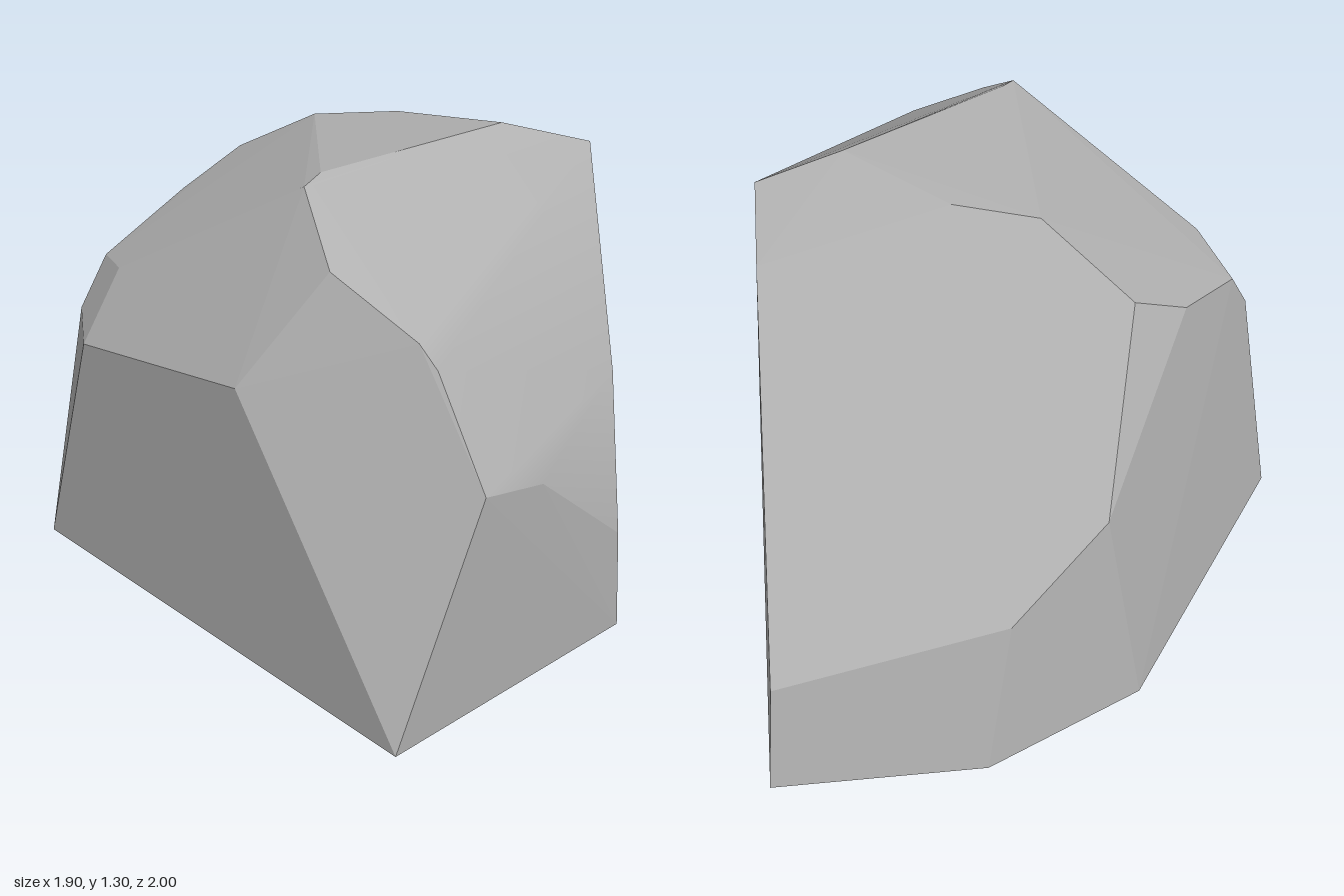
import * as THREE from 'three';
import { ConvexGeometry } from 'three/addons/geometries/ConvexGeometry.js';

// Shell of flat facets, open underneath, with blended normals on the worn right flank
function rockShell(corners) {
  const pos = new ConvexGeometry(corners).attributes.position;
  const positions = [], normals = [], flank = [];
  const sums = new Map();
  const key = v => v.toArray().map(c => c.toFixed(3)).join();
  for (let i = 0; i < pos.count; i += 3) {
    const tri = [0, 1, 2].map(k => new THREE.Vector3().fromBufferAttribute(pos, i + k));
    const area = tri[1].clone().sub(tri[0]).cross(tri[2].clone().sub(tri[0]));
    const n = area.clone().normalize();
    if (n.y < -0.9) continue; // no underside
    const worn = n.x > 0.4 && n.y > 0.2 && Math.abs(n.z) < 0.45;
    for (const v of tri) {
      if (worn) {
        if (!sums.has(key(v))) sums.set(key(v), new THREE.Vector3());
        sums.get(key(v)).add(area);
        flank.push([normals.length, key(v)]);
      }
      positions.push(...v.toArray());
      normals.push(...n.toArray());
    }
  }
  for (const [at, id] of flank) sums.get(id).clone().normalize().toArray(normals, at);

  const shell = new THREE.BufferGeometry();
  shell.setAttribute('position', new THREE.Float32BufferAttribute(positions, 3));
  shell.setAttribute('normal', new THREE.Float32BufferAttribute(normals, 3));
  return shell;
}

export function createModel() {
  const group = new THREE.Group();
  group.name = 'boulder';
  // Double sided because the shell is open at the ground
  const stone = new THREE.MeshStandardMaterial({ color: 0xb0b0b0, side: THREE.DoubleSide });
  stone.name = 'grey stone';

  const corners = [
    // footprint on the ground
    [-0.57, 0, -1], [-0.89, 0, -0.49], [-0.95, 0, 0.03],
    [-0.54, 0, 1], [0.945, 0, 0.76], [0.85, 0, -0.07],
    // back and left shoulder
    [-0.53, 0.32, -0.95], [-0.85, 0.455, -0.39], [-0.865, 0.66, -0.07],
    [-0.59, 1.08, 0.25], [-0.6, 0.98, 0.45], [0.13, 1.13, -0.49],
    // front left edge
    [-0.49, 0.88, 0.77], [-0.47, 0.745, 0.87], [-0.28, 0.925, 0.83],
    // front face top
    [-0.26, 0.735, 0.965], [0.4, 0.84, 0.86],
    // crown
    [-0.3, 1.24, 0.16], [-0.12, 1.263, -0.01], [0.24, 1.305, -0.11],
    [0.26, 1.295, 0.5], [0.29, 1.28, 0.57], [0.35, 1.235, -0.34],
    // right flank
    [0.51, 1.14, 0.64], [0.73, 1, 0.53], [0.78, 0.94, 0.51], [0.95, 0.66, 0.49],
    [0.917, 0.61, 0.28], [0.735, 0.74, -0.11], [0.855, 0.31, -0.05],
  ].map(c => new THREE.Vector3(...c));

  const rock = new THREE.Mesh(rockShell(corners), stone);
  rock.name = 'rock';
  group.add(rock);
  return group;
}
